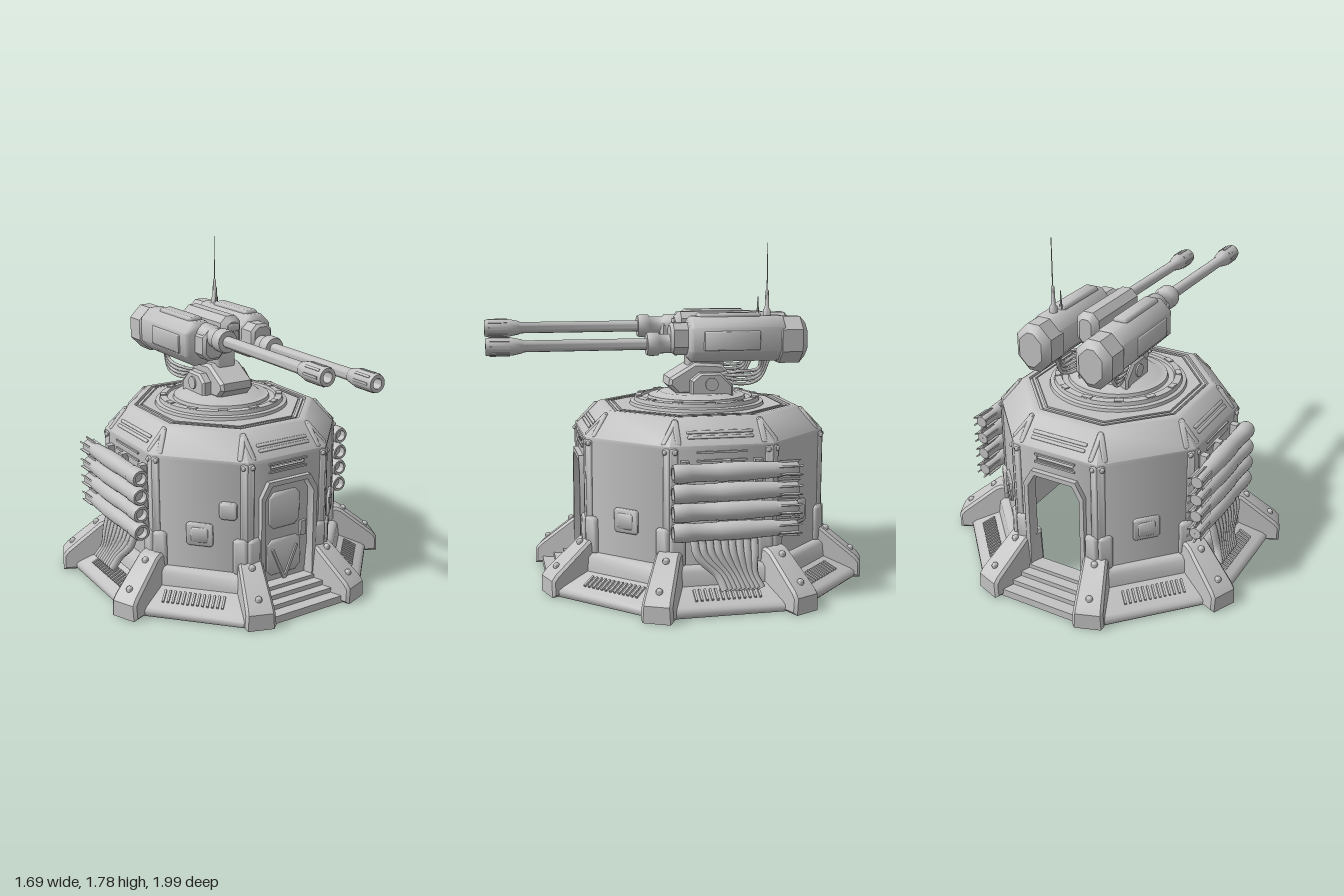
import * as THREE from 'three';
import { toCreasedNormals } from 'three/addons/utils/BufferGeometryUtils.js';

const V = (x, y, z) => new THREE.Vector3(x, y, z);
const V2 = (pts) => pts.map(([x, y]) => new THREE.Vector2(x, y));
const C8 = Math.cos(Math.PI / 8);
const SOFT = 0.95, CRISP = 0.6;

export function createModel() {
  const grey = new THREE.MeshStandardMaterial({ color: 0xc2c2c2, side: THREE.DoubleSide });
  grey.name = 'painted steel grey';

  const root = new THREE.Group();
  root.name = 'gunBunker';

  const add = (parent, name, geo, x = 0, y = 0, z = 0, crease = SOFT) => {
    const m = new THREE.Mesh(toCreasedNormals(geo, crease), grey);
    m.name = name;
    m.position.set(x, y, z);
    parent.add(m);
    return m;
  };
  const group = (parent, name, ry = 0) => {
    const g = new THREE.Group();
    g.name = name;
    g.rotation.y = ry;
    parent.add(g);
    return g;
  };
  const box = (w, h, d) => new THREE.BoxGeometry(w, h, d);
  const bolt = (r) => new THREE.SphereGeometry(r, 12, 8);
  const extrude = (shape, d, bevel = 0) => new THREE.ExtrudeGeometry(shape, {
    depth: d - 2 * bevel, bevelEnabled: bevel > 0, bevelSize: bevel, bevelThickness: bevel,
    bevelOffset: -bevel, bevelSegments: 1,
  }).translate(0, 0, bevel - d / 2);
  // profile given as [z, y], extruded across x
  const sideways = (pts, w, bevel = 0) => extrude(new THREE.Shape(V2(pts)), w, bevel).rotateY(-Math.PI / 2);
  // eight-sided block along z
  const block = (w, h, d, c, bevel) => {
    const a = w / 2, b = h / 2;
    return extrude(new THREE.Shape(V2([[-a + c, -b], [a - c, -b], [a, -b + c], [a, b - c],
      [a - c, b], [-a + c, b], [-a, b - c], [-a, -b + c]])), d, bevel);
  };
  // round profile [radius, z] spun about the z axis
  const spunZ = (pts, n = 24) => new THREE.LatheGeometry(V2(pts), n).rotateX(Math.PI / 2);
  // octagonal profile [apothem, y] with flats facing the axes
  const octagon = (pts, start = 0, n = 8) => new THREE.LatheGeometry(
    V2(pts.map(([r, y]) => [r / C8, y])), n, start - Math.PI / 8, n * Math.PI / 4);
  const tube = (pts, r, n = 16) => new THREE.TubeGeometry(new THREE.CatmullRomCurve3(pts), n, r, 8);
  const doorway = (w, y0, y1, c) => V2([[-w, y0], [w, y0], [w, y1 - c], [w - c * 0.6, y1],
    [-w + c * 0.6, y1], [-w, y1 - c]]);

  // ---- Base skirt, steps and legs ----
  const base = group(root, 'base');
  base.position.z = -0.12;
  const skirt = group(base, 'skirt');
  skirt.scale.set(0.97, 1, 1.03);
  for (let i = 0; i < 8; i++) {
    const a = i * Math.PI / 4;
    if (i % 4 === 0) {
      add(skirt, 'steps', octagon([[0.81, 0], [0.81, 0.04], [0.75, 0.04], [0.75, 0.065],
        [0.7, 0.065], [0.7, 0.09], [0.65, 0.09], [0.65, 0.11], [0.57, 0.11]], a, 1));
      continue;
    }
    add(skirt, 'skirtPanel', octagon([[0.8, 0], [0.81, 0.01], [0.81, 0.035], [0.79, 0.05],
      [0.66, 0.11], [0.65, 0.18], [0.63, 0.2], [0.59, 0.2]], a, 1));
    const side = group(skirt, 'skirtGrille', a);
    for (let k = 0; k < 13; k++) {
      add(side, 'grilleSlat', box(0.011, 0.016, 0.075), (k - 6) * 0.026, 0.083, 0.725).rotation.x = 0.43;
    }
  }
  for (const sx of [-1, 1]) for (const deg of [19.5, 65.5, 114.5, 160.5]) {
    const leg = group(base, 'leg', sx * deg * Math.PI / 180);
    const geo = sideways([[0.58, 0], [0.9, 0], [0.9, 0.085], [0.875, 0.115], [0.69, 0.262],
      [0.66, 0.275], [0.58, 0.275]], 0.16, 0.014);
    const p = geo.attributes.position;
    // narrow the leg towards the top
    for (let i = 0; i < p.count; i++) p.setX(i, p.getX(i) * (1.02 - p.getY(i) * 0.9));
    add(leg, 'legBody', geo, 0, 0, 0, CRISP);
    add(leg, 'legBolt', bolt(0.018), 0, 0.14, 0.845);
    add(leg, 'legBolt', bolt(0.018), 0, 0.248, 0.71);
  }

  // ---- Hollow octagonal body ----
  const body = group(root, 'body');
  body.position.z = -0.12;
  body.scale.set(0.965, 1, 1.055);
  for (let i = 0; i < 8; i++) {
    const side = group(body, 'bodySide', i * Math.PI / 4);
    const wallShape = new THREE.Shape(V2([[-0.2485, 0], [0.2485, 0], [0.2485, 0.8], [-0.2485, 0.8]]));
    if (i % 4 === 0) {
      wallShape.holes.push(new THREE.Path(doorway(0.155, 0.11, 0.655, 0.07)));
      wallShape.holes.push(new THREE.Path(V2([[-0.11, 0.735], [0.11, 0.735], [0.11, 0.757], [-0.11, 0.757]])));
      const frame = new THREE.Shape(doorway(0.18, 0.1, 0.68, 0.08));
      frame.holes.push(new THREE.Path(doorway(0.155, 0.11, 0.655, 0.07)));
      add(side, 'doorFrame', extrude(frame, 0.04), 0, 0, 0.605);
      add(side, 'slitBar', box(0.22, 0.004, 0.02), 0, 0.742, 0.59);
    } else if (i % 2) {
      // raised hatch on each diagonal wall
      add(side, 'hatch', block(0.14, 0.125, 0.02, 0.012, 0.006), 0, 0.395, 0.606);
      add(side, 'hatchInset', block(0.09, 0.08, 0.012, 0.01, 0.004), 0, 0.395, 0.615);
    }
    const wall = add(side, 'wall', extrude(wallShape, 0.04), 0, 0, 0.58);
    // blend the shading of the outer faces around the corners
    const { position, normal } = wall.geometry.attributes;
    for (let k = 0; k < position.count; k++) {
      if (normal.getZ(k) < 0.9) continue;
      const n = V(position.getX(k) / 0.6, 0, 1).normalize();
      normal.setXYZ(k, n.x, n.y, n.z);
    }
    for (const sx of [-1, 1]) {
      // corner strips, buttress pads and shoulder ribs
      add(side, 'cornerStrip', block(0.04, 0.58, 0.016, 0.008, 0.007), sx * 0.23, 0.5, 0.6);
      add(side, 'buttressPad', block(0.075, 0.2, 0.03, 0.015, 0.012), sx * 0.212, 0.29, 0.606);
      add(side, 'shoulderRib', block(0.03, 0.155, 0.02, 0.008, 0.008), sx * 0.206, 0.857, 0.543).rotation.x = -0.745;
      add(side, 'wallBolt', bolt(0.013), sx * 0.225, 0.77, 0.607);
    }
    if (i % 2 === 0) {
      // slit surround on the wall and louvres on the sloped shoulder
      for (const y of [0.725, 0.767]) add(side, 'slitFrame', box(0.24, 0.01, 0.012), 0, y, 0.602);
      const vent = group(side, 'shoulderVent');
      vent.position.set(0, 0.842, 0.553);
      vent.rotation.x = -0.745;
      for (const y of [-0.015, 0.015]) add(vent, 'louvre', block(0.32, 0.018, 0.028, 0.005, 0.005), 0, y, 0);
    }
  }
  add(body, 'roof', octagon([[0.602, 0.785], [0.602, 0.8], [0.49, 0.915], [0.475, 0.924], [0.45, 0.924],
    [0.45, 0.908], [0.435, 0.908], [0.435, 0.922], [0.42, 0.922], [0.42, 0.912], [0.41, 0.912],
    [0.41, 0.924], [0.001, 0.924]]));

  // front door leaf with braces
  const door = group(body, 'frontDoor');
  add(door, 'doorLeaf', extrude(new THREE.Shape(doorway(0.157, 0.1, 0.66, 0.07)), 0.02), 0, 0, 0.565);
  add(door, 'doorUpperPanel', block(0.2, 0.2, 0.016, 0.03, 0.007), 0, 0.5, 0.576);
  add(door, 'doorLowerPanel', block(0.22, 0.2, 0.012, 0.03, 0.005), 0, 0.24, 0.576);
  add(door, 'doorHandle', box(0.035, 0.08, 0.02), 0.12, 0.37, 0.58);
  for (const s of [-1, 1]) {
    add(door, 'doorBrace', box(0.015, 0.19, 0.012), s * 0.04, 0.2, 0.586).rotation.z = -s * 0.42;
  }
  add(group(body, 'keypad', -Math.PI / 4), 'keypadBox', block(0.09, 0.09, 0.035, 0.012, 0.008), 0.15, 0.54, 0.61);

  // ---- Missile racks with hoses, both sides ----
  const missile = spunZ([[0.001, 0.1], [0.03, 0.1], [0.03, 0.14], [0.042, 0.14], [0.047, 0.125], [0.047, 0.06],
    [0.044, 0.05], [0.044, -0.08], [0.047, -0.09], [0.047, -0.24], [0.044, -0.28], [0.041, -0.36],
    [0.034, -0.42], [0.036, -0.48], [0.03, -0.49], [0.001, -0.49]]);
  for (const s of [-1, 1]) {
    const rack = group(root, s > 0 ? 'leftMissileRack' : 'rightMissileRack');
    for (const z of [0.07, -0.14, -0.3]) add(rack, 'rackRail', box(0.04, 0.4, 0.04), s * 0.595, 0.53, z);
    add(rack, 'rackPost', box(0.03, 0.3, 0.05), s * 0.6, 0.28, -0.12);
    for (const y of [0.68, 0.58, 0.485, 0.385]) {
      add(rack, 'missile', missile, s * 0.642, y, 0);
      for (let k = 0; k < 6; k++) {
        const fin = group(rack, 'missileFin');
        fin.position.set(s * 0.642, y, 0);
        fin.rotation.z = k * Math.PI / 3;
        add(fin, 'finBlade', sideways([[-0.36, 0.03], [-0.4, 0.045], [-0.505, 0.046], [-0.48, 0.03]], 0.008));
      }
    }
    for (let k = 0; k < 9; k++) {
      const z = 0.03 - k * 0.038, e = -0.11 - k * 0.023;
      add(rack, 'hose', tube([V(s * 0.62, 0.37, z), V(s * 0.65, 0.27, z * 0.95 - 0.01),
        V(s * 0.67, 0.17, e + 0.03), V(s * 0.7, 0.1, e)], 0.021));
    }
  }

  // ---- Turret ring and pedestal ----
  const turret = group(root, 'turret');
  add(turret, 'turretRing', new THREE.LatheGeometry(V2([[0.365, 0.92], [0.36, 0.94], [0.34, 0.945], [0.335, 0.965],
    [0.3, 0.968], [0.295, 0.955], [0.265, 0.955], [0.26, 0.972], [0.22, 0.975], [0.2, 0.99], [0.001, 0.99]]), 48), 0, 0, -0.12);
  for (let k = 0; k < 12; k++) {
    const g = group(turret, 'ringClamp', k * Math.PI / 6);
    g.position.z = -0.12;
    add(g, 'clampBlock', box(0.05, 0.014, 0.03), 0, 0.965, 0.318);
  }
  add(turret, 'pedestal', sideways([[0, 0.98], [0.05, 1.03], [0.045, 1.07], [-0.09, 1.15], [-0.24, 1.14],
    [-0.29, 1.08], [-0.3, 0.98]], 0.2, 0.015), 0, 0, 0, CRISP);
  for (const s of [-1, 1]) {
    add(turret, 'pedestalCheek', sideways([[-0.06, 0.97], [-0.06, 1.06], [-0.11, 1.1], [-0.22, 1.1],
      [-0.29, 1.03], [-0.29, 0.97]], 0.06, 0.012), s * 0.12, 0, 0, CRISP);
    add(turret, 'cheekBolt', new THREE.CylinderGeometry(0.035, 0.035, 0.02, 16).rotateZ(Math.PI / 2), s * 0.148, 1.04, -0.17);
  }
  add(turret, 'neck', block(0.11, 0.24, 0.2, 0.02, 0.01), 0, 1.19, -0.16);
  add(turret, 'centrePod', block(0.125, 0.18, 0.45, 0.035, 0.03), 0, 1.328, -0.22, CRISP);
  add(turret, 'podSensor', block(0.07, 0.04, 0.02, 0.01, 0.004), 0, 1.36, 0.005);
  add(turret, 'trunnion', new THREE.CylinderGeometry(0.05, 0.05, 0.24, 20).rotateZ(Math.PI / 2), 0, 1.27, -0.18);

  // ---- Twin guns ----
  const barrel = spunZ([[0.001, 0.9], [0.025, 0.9], [0.025, 1], [0.043, 1], [0.046, 0.985], [0.046, 0.87],
    [0.036, 0.82], [0.03, 0.81], [0.03, 0.18], [0.056, 0.18], [0.062, 0.165], [0.062, 0.12], [0.05, 0.11],
    [0.05, 0.04], [0.062, 0.03], [0.062, -0.06]]);
  for (const [s, by, back] of [[-1, 1.332, -0.69], [1, 1.26, -0.665]]) {
    const gun = group(turret, s > 0 ? 'leftGun' : 'rightGun');
    const x = s * 0.175;
    add(gun, 'barrel', barrel, s * 0.145, by, 0);
    for (let k = 0; k < 8; k++) {
      const g = group(gun, 'muzzleRib');
      g.position.set(s * 0.145, by, 0.93);
      g.rotation.z = k * Math.PI / 4;
      add(g, 'rib', box(0.012, 0.006, 0.1), 0, 0.046, 0);
    }
    add(gun, 'gunCollar', block(0.13, 0.16, 0.12, 0.035, 0.015), s * 0.15, 1.29, 0, CRISP);
    add(gun, 'gunHousing', block(0.185, 0.235, 0.52, 0.055, 0.02), x, 1.285, -0.29);
    add(gun, 'housingRidge', block(0.08, 0.04, 0.34, 0.012, 0.012), x, 1.4, -0.25);
    add(gun, 'rearBlock', block(0.195, 0.245, 0.18, 0.065, 0.035), x, 1.275, back + 0.09, CRISP);
    add(gun, 'sidePlate', block(0.016, 0.1, 0.3, 0.005, 0.005), s * 0.266, 1.28, -0.25);
    // ammunition cables hanging beneath
    for (let k = 0; k < 4; k++) {
      add(gun, 'cable', tube([V(s * 0.1, 1.09, -0.2 - k * 0.01), V(s * (0.13 + k * 0.008), 1.04 + k * 0.022, -0.3),
        V(s * 0.155, 1.06 + k * 0.02, -0.42), V(s * (0.15 + k * 0.01), 1.19, -0.49 + k * 0.02)], 0.009, 20));
    }
  }

  // ---- Antennas on the left gun ----
  add(turret, 'antenna', new THREE.LatheGeometry(V2([[0.022, 1.39], [0.02, 1.43], [0.012, 1.44], [0.009, 1.53],
    [0.003, 1.54], [0.002, 1.78], [0.0005, 1.78]]), 10), 0.17, 0, -0.46);
  add(turret, 'shortAntenna', new THREE.LatheGeometry(V2([[0.012, 1.39], [0.006, 1.43], [0.002, 1.5]]), 8), 0.155, 0, -0.415);
  return root;
}
